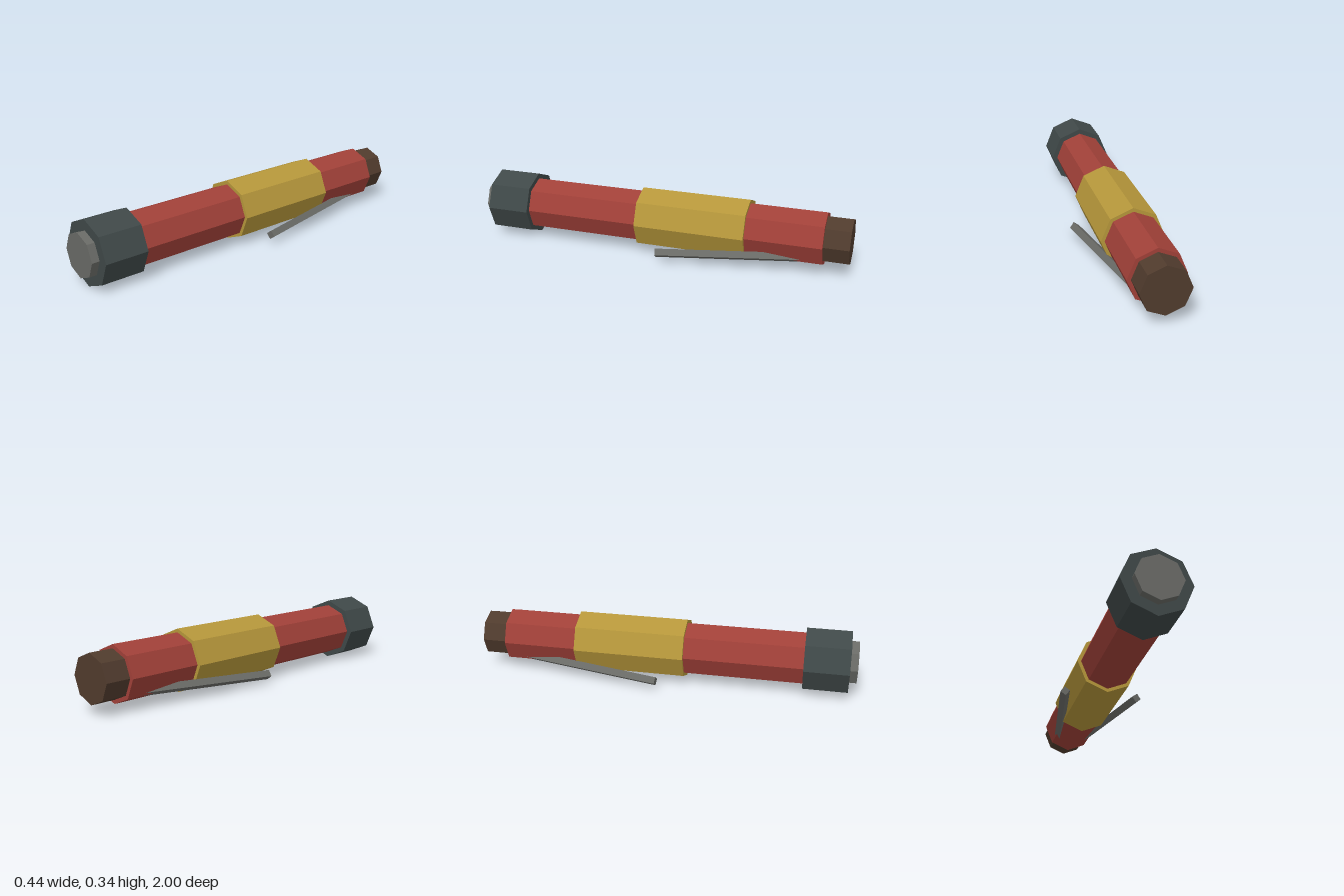
import * as THREE from 'three';

const CENTRE_Y = 0.171;

function material(name, color) {
  const m = new THREE.MeshStandardMaterial({ color, flatShading: true });
  m.name = name;
  return m;
}

export function createModel() {
  const group = new THREE.Group();
  const red = material('red', 0xa04038);
  const brass = material('brass', 0xb5963a);
  const slate = material('slate', 0x3f4848);
  const grey = material('grey', 0x696a66);
  const brown = material('brown', 0x503b2d);

  function add(name, geometry, mat) {
    const mesh = new THREE.Mesh(geometry, mat);
    mesh.name = name;
    group.add(mesh);
    return mesh;
  }

  // Eight-sided section lying along z, with a corner at the top
  function section(name, radius, back, front, mat) {
    const g = new THREE.CylinderGeometry(radius, radius, front - back, 8);
    g.rotateX(Math.PI / 2);
    g.translate(0, CENTRE_Y, (front + back) / 2);
    add(name, g, mat);
  }

  // Barrel, from front to back
  section('frontLens', 0.115, 0.9, 1, grey);
  section('frontCollar', 0.17, 0.73, 0.96, slate);
  section('mainTube', 0.142, -0.87, 0.74, red);
  section('gripSleeve', 0.161, -0.475, 0.11, brass);
  section('endCap', 0.122, -1, -0.8, brown);

  // Slender square prongs, splayed outward and down towards the front
  for (const side of [1, -1]) {
    const start = new THREE.Vector3(side * 0.196, 0.053, -0.023);
    const end = new THREE.Vector3(side * 0.074, 0.087, -0.8);
    const along = start.clone().sub(end);
    const g = new THREE.BoxGeometry(0.036, 0.036, along.length());
    g.rotateZ(side * 0.64);
    g.applyQuaternion(new THREE.Quaternion().setFromUnitVectors(
      new THREE.Vector3(0, 0, 1), along.clone().normalize()));
    const mid = start.clone().add(end).multiplyScalar(0.5);
    g.translate(mid.x, mid.y, mid.z);
    add(side > 0 ? 'leftProng' : 'rightProng', g, grey);
  }

  return group;
}
